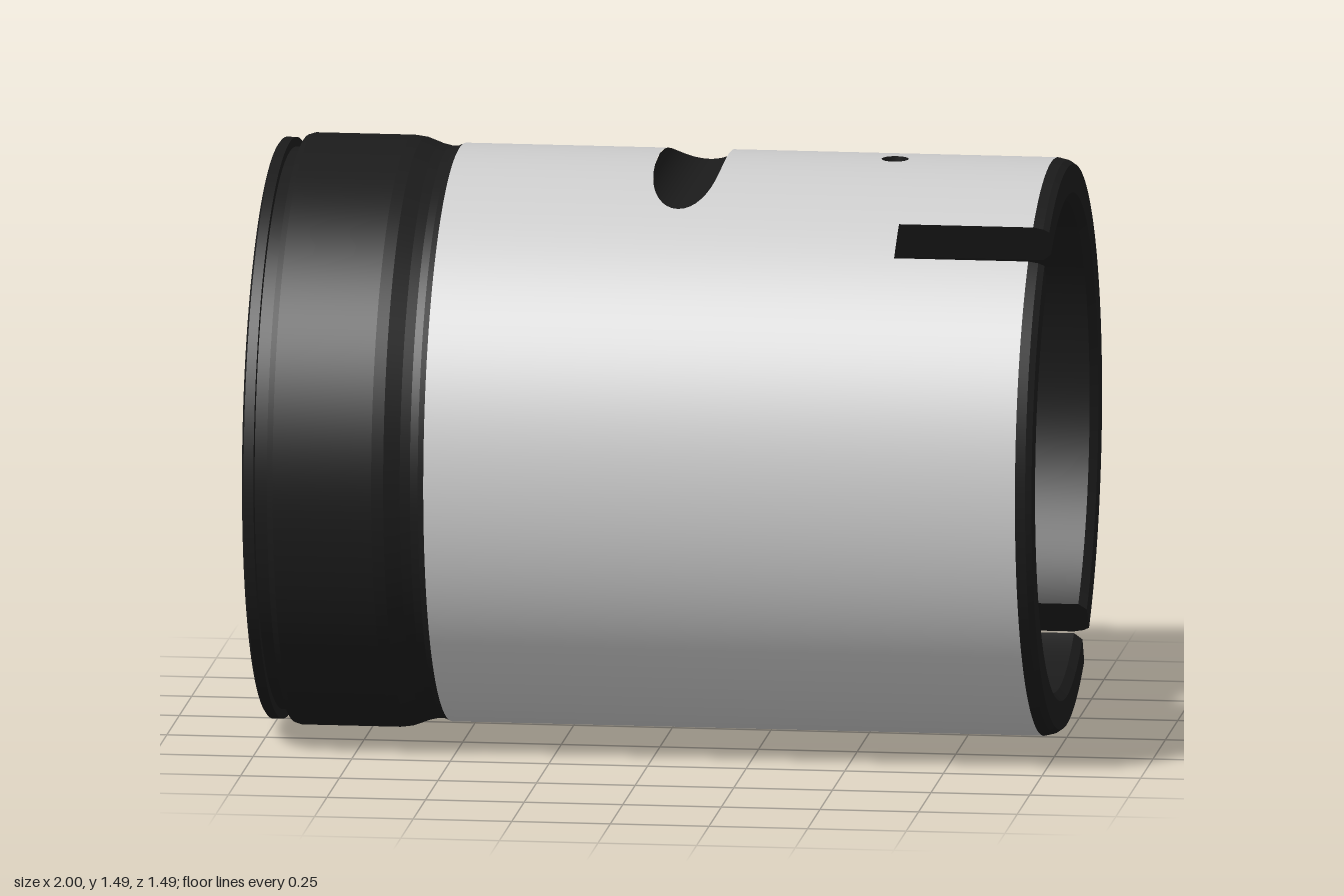
import * as THREE from 'three';

const R = 0.728, BORE = 0.62, RELIEF = 0.65;              // sleeve radii
const groove = { x: 0.055, y: 0.738, r: 0.087 };          // round-bottomed cross groove on top
const hole = { x: 0.565, r: 0.034 };                      // drilled through top and bottom
const slot = { x: 0.62, half: 0.0825, at: [0.6, 0.6 + Math.PI] };

const grey = new THREE.MeshStandardMaterial({ color: 0xcccccc });
const black = new THREE.MeshStandardMaterial({ color: 0x1b1b1b });
const blackThin = new THREE.MeshStandardMaterial({ color: 0x1b1b1b, side: THREE.DoubleSide });

// Angles run from the top (+y) towards the front (+z); extra columns where cuts need them
function columns() {
  const a = [];
  for (let i = 0; i < 160; i++) a.push((i / 160) * Math.PI * 2);
  const reach = Math.acos((groove.y - groove.r) / R);
  for (let k = -12; k <= 12; k++) {
    const s = Math.sin((k / 12) * Math.PI / 2);
    a.push(reach * s);
    for (const r of [R, RELIEF]) {
      const t = Math.asin((hole.r / r) * s);
      a.push(t, Math.PI + t);
    }
  }
  for (const c of slot.at) a.push(c - slot.half, c + slot.half);
  const turn = Math.PI * 2;
  const sorted = a.map(t => (t + turn) % turn).sort((p, q) => p - q);
  const out = sorted.filter((t, i) => i === 0 || t - sorted[i - 1] > 1e-6);
  out.push(turn);
  return out;
}
const COLS = columns();
const inSlot = t => slot.at.some(c => Math.abs(t - c) < slot.half);

// Half-widths of the cuts along x at a given angle
const grooveHalf = t => {
  const d = Math.max(0, groove.y - R * Math.cos(t));
  return Math.sqrt(Math.max(0, groove.r ** 2 - d * d));
};
const holeHalf = (t, r) => Math.sqrt(Math.max(0, hole.r ** 2 - (r * Math.sin(t)) ** 2));

// Surface of revolution about x between two edges, each (angle) => [x, radius]
function band(group, name, material, e0, e1, keep = () => true) {
  const pos = [], nor = [], index = [];
  const f0 = typeof e0 === 'function' ? e0 : () => e0;
  const f1 = typeof e1 === 'function' ? e1 : () => e1;
  for (const t of COLS) {
    const p = f0(t), q = f1(t);
    const dx = q[0] - p[0], dr = q[1] - p[1], l = Math.hypot(dx, dr) || 1;
    for (const [x, r] of [p, q]) {
      pos.push(x, r * Math.cos(t), r * Math.sin(t));
      nor.push(-dr / l, (dx / l) * Math.cos(t), (dx / l) * Math.sin(t));
    }
  }
  for (let i = 0; i < COLS.length - 1; i++) {
    if (!keep((COLS[i] + COLS[i + 1]) / 2)) continue;
    const a = 2 * i, b = a + 1, c = a + 2, d = a + 3;
    index.push(a, c, b, b, c, d);
  }
  const g = new THREE.BufferGeometry();
  g.setAttribute('position', new THREE.Float32BufferAttribute(pos, 3));
  g.setAttribute('normal', new THREE.Float32BufferAttribute(nor, 3));
  g.setIndex(index);
  add(group, name, g, material);
}

function add(group, name, geometry, material) {
  const m = new THREE.Mesh(geometry, material);
  m.name = name;
  group.add(m);
  return m;
}

// Chain of bands through profile points
function chain(group, name, material, points, keep) {
  for (let i = 0; i < points.length - 1; i++) band(group, name, material, points[i], points[i + 1], keep);
}

// Round floor of the cross groove, ruled along z
function grooveFloor() {
  const n = 32, m = Math.acos((groove.y - R) / groove.r), pos = [], index = [];
  for (let i = 0; i <= n; i++) {
    const f = -m + (2 * m * i) / n;
    const y = groove.y - groove.r * Math.cos(f);
    const z = Math.sqrt(Math.max(0, R * R - y * y));
    const x = groove.x + groove.r * Math.sin(f);
    pos.push(x, y, -z, x, y, z);
    if (i < n) index.push(2 * i, 2 * i + 1, 2 * i + 2, 2 * i + 1, 2 * i + 3, 2 * i + 2);
  }
  const g = new THREE.BufferGeometry();
  g.setAttribute('position', new THREE.Float32BufferAttribute(pos, 3));
  g.setIndex(index);
  g.computeVertexNormals();
  return g;
}

export function createModel() {
  const model = new THREE.Group();
  model.name = 'sleeve';
  const solid = t => !inSlot(t);
  const part = name => {
    const g = new THREE.Group();
    g.name = name;
    model.add(g);
    return g;
  };

  // Grey outer skin, interrupted by groove, holes and end slots
  const body = part('body');
  band(body, 'bodySkin', grey, [-0.54, R], t => [groove.x - grooveHalf(t), R]);
  band(body, 'bodySkin', grey, t => [groove.x + grooveHalf(t), R], t => [hole.x - holeHalf(t, R), R]);
  band(body, 'bodySkin', grey, t => [hole.x + holeHalf(t, R), R], [slot.x, R]);
  band(body, 'bodySkin', grey, [slot.x, R], [0.96, R], solid);

  // Dark collar with its ring groove, from the left bore round to the body
  chain(part('collar'), 'collarSurface', black, [
    [-0.58, 0.59], [-0.62, 0.645], [-0.985, 0.65], [-1, 0.665], [-1, 0.725], [-0.995, 0.732], [-0.97, 0.732],
    [-0.97, 0.708], [-0.935, 0.708], [-0.935, 0.74], [-0.92, 0.745], [-0.67, 0.745],
    [-0.64, 0.741], [-0.6, 0.726], [-0.575, 0.72], [-0.555, 0.721], [-0.54, R],
  ]);

  // Chamfered right rim and slotted mouth
  const rim = part('rim');
  chain(rim, 'rimSurface', black, [
    [0.96, R], [0.985, 0.722], [1, 0.712], [1, 0.64], [0.98, BORE], [slot.x, BORE],
  ], solid);

  // Inner bore with a relief ring that the drilled holes open into
  const bore = part('bore');
  chain(bore, 'reliefEdge', black, [[slot.x, BORE], [0.61, BORE], [0.61, RELIEF]]);
  band(bore, 'reliefRing', black, [0.61, RELIEF], t => [hole.x + holeHalf(t, RELIEF), RELIEF]);
  band(bore, 'reliefRing', black, t => [hole.x - holeHalf(t, RELIEF), RELIEF], [0.52, RELIEF]);
  chain(bore, 'boreWall', black, [[0.52, RELIEF], [0.52, 0.59], [-0.58, 0.59]]);

  // Cross groove
  add(model, 'crossGroove', grooveFloor(), blackThin);

  // Drilled hole walls, top and bottom
  for (const s of [1, -1]) {
    const wall = new THREE.CylinderGeometry(hole.r, hole.r, R - RELIEF, 32, 1, true);
    add(model, 'drilledHole', wall, blackThin).position.set(hole.x, (s * (R + RELIEF)) / 2, 0);
  }

  // End and side walls of the two opposed slots
  const slots = part('endSlots');
  band(slots, 'slotEnd', black, [slot.x, R], [slot.x, BORE], inSlot);
  const side = new THREE.Shape([
    [slot.x, BORE], [0.98, BORE], [1, 0.64], [1, 0.712], [0.985, 0.722], [0.96, R], [slot.x, R],
  ].map(([x, r]) => new THREE.Vector2(x, r)));
  for (const c of slot.at) for (const s of [-1, 1]) {
    add(slots, 'slotSide', new THREE.ShapeGeometry(side), blackThin).rotation.x = c + s * slot.half;
  }

  for (const child of model.children) child.position.y += 0.745;
  return model;
}
